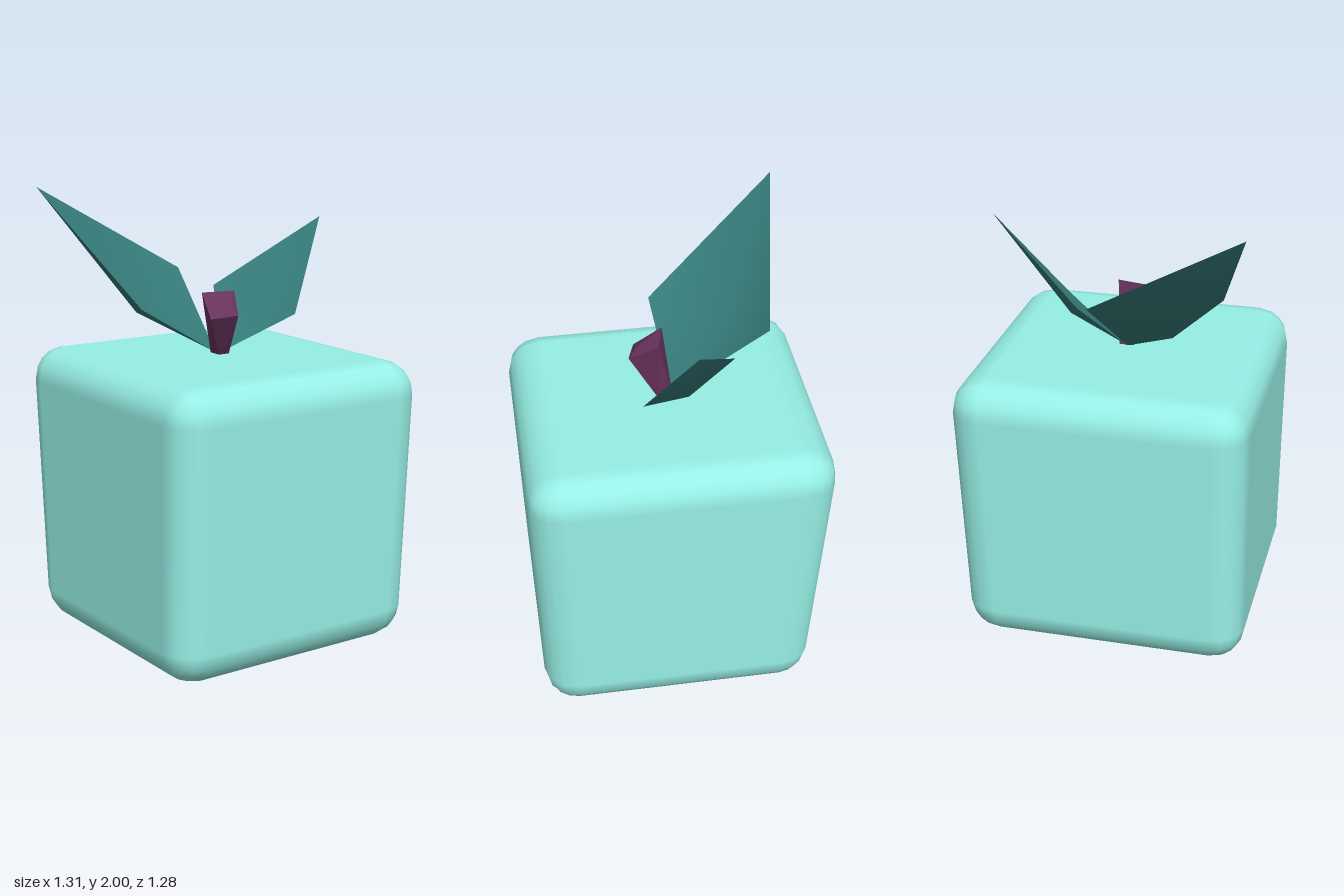
import * as THREE from 'three';
import { RoundedBoxGeometry } from 'three/addons/geometries/RoundedBoxGeometry.js';
import { ConvexGeometry } from 'three/addons/geometries/ConvexGeometry.js';

const bodyMat = new THREE.MeshStandardMaterial({ color: 0x96efe5 });
const leafMat = new THREE.MeshStandardMaterial({ color: 0x357b79, side: THREE.DoubleSide });
const stemMat = new THREE.MeshStandardMaterial({ color: 0x69335d, flatShading: true });

function addMesh(group, name, geometry, material) {
  const mesh = new THREE.Mesh(geometry, material);
  mesh.name = name;
  group.add(mesh);
}

// Rounded cube that widens towards the top and leans slightly
function bodyGeometry() {
  const h = 1.27;
  const geo = new RoundedBoxGeometry(2 * 0.64, h, 2 * 0.64, 2, 0.15);
  const p = geo.attributes.position;
  for (let i = 0; i < p.count; i++) {
    const y = p.getY(i) + h / 2;
    const x = p.getX(i) / 0.64;
    const z = p.getZ(i) / 0.64;
    const halfX = x < 0 ? 0.578 + 0.072 * y : 0.614 + 0.036 * y;
    const halfZ = z < 0 ? 0.615 + 0.02 * y : 0.632 + 0.006 * y;
    p.setXYZ(i, x * halfX, y + 0.008 - 0.008 * x, z * halfZ);
  }
  return geo;
}

// Four-cornered leaf, cupped around a lowered middle point
function leafGeometry(base, sideA, tip, sideB, middle) {
  const geo = new THREE.BufferGeometry();
  const points = [base, sideA, tip, sideB, middle];
  geo.setAttribute('position', new THREE.Float32BufferAttribute(points.flat(), 3));
  const index = [];
  for (let i = 0; i < 4; i++) index.push(i, (i + 1) % 4, 4);
  geo.setIndex(index);
  geo.computeVertexNormals();
  return geo;
}

// Blunt stem, leaning and flaring to a four-sided top
function stemGeometry() {
  const foot = [[-0.035, 1.27, -0.03], [0.03, 1.27, -0.02], [0.03, 1.27, 0.03], [-0.035, 1.27, 0.03]];
  const top = [[0.03, 1.555, -0.05], [0.153, 1.465, 0.015], [0.117, 1.455, 0.135], [-0.003, 1.555, 0.1]];
  const crown = [[0.115, 1.51, 0.03]];
  return new ConvexGeometry([...foot, ...top, ...crown].map((v) => new THREE.Vector3(...v)));
}

export function createModel() {
  const group = new THREE.Group();
  addMesh(group, 'body', bodyGeometry(), bodyMat);
  addMesh(group, 'frontLeaf', leafGeometry(
    [-0.035, 1.275, 0.005], [0.01, 1.51, 0.42], [-0.565, 2, 0.6],
    [-0.445, 1.605, -0.07], [-0.29, 1.445, 0.26]), leafMat);
  addMesh(group, 'backLeaf', leafGeometry(
    [-0.02, 1.275, -0.01], [-0.28, 1.535, -0.155], [-0.05, 1.845, -0.59],
    [0.135, 1.44, -0.31], [-0.07, 1.42, -0.24]), leafMat);
  addMesh(group, 'stem', stemGeometry(), stemMat);
  return group;
}
